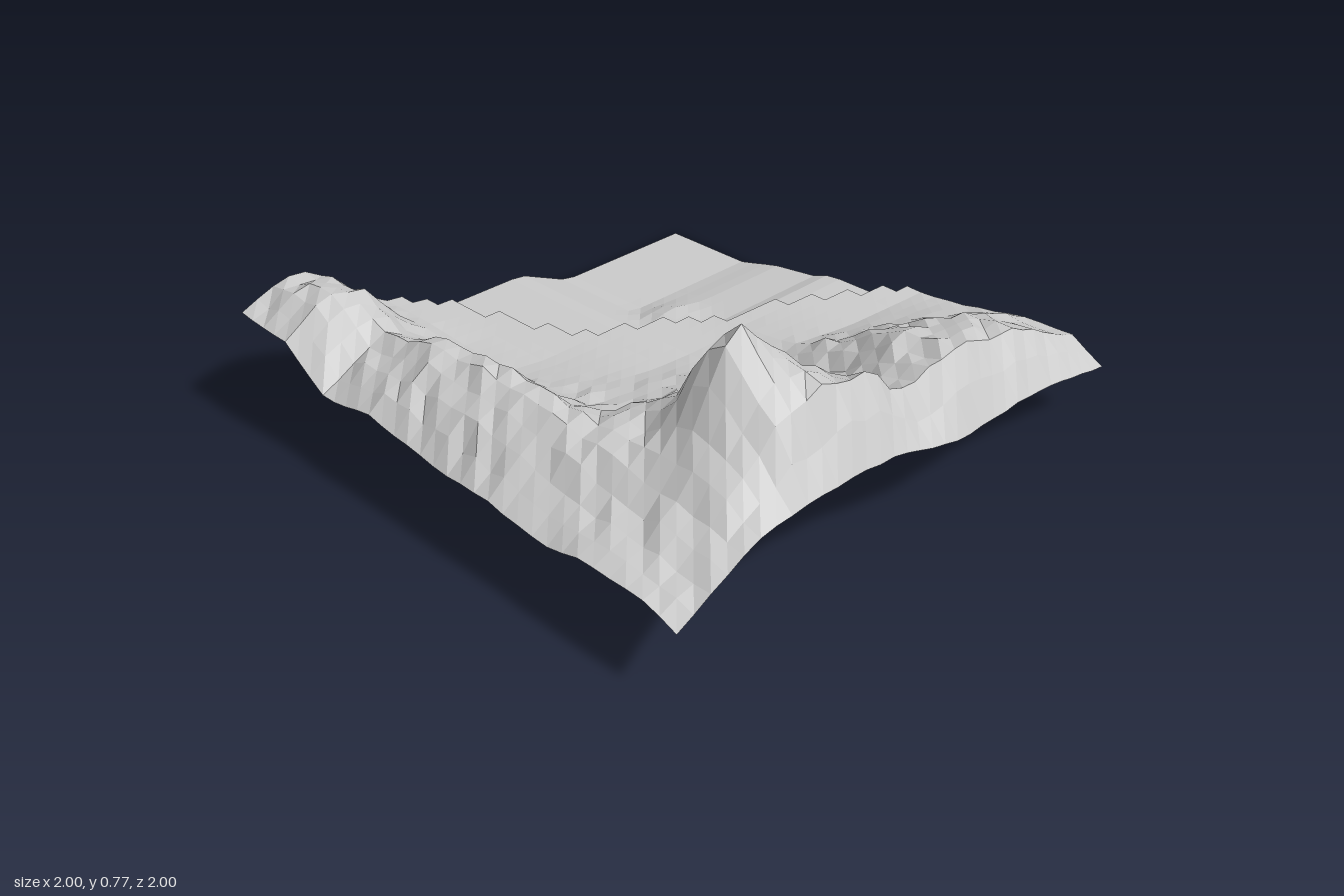
import * as THREE from 'three';

const N = 32; // cells per side
const { clamp, lerp } = THREE.MathUtils;

// Control net for the upper ground: plateau, spur, front ridge, right ridge and peak
const netX = [-1, -0.75, -0.55, -0.3, 0, 0.25, 0.5, 0.6, 0.6875, 0.875, 1];
const netZ = [-1, -0.6, -0.3, -0.2, -0.08, 0.1, 0.3, 0.4375, 0.5, 0.6, 0.72, 0.85, 1];
const net = [
  [0.2, 0.2, 0.2, 0.2, 0.19, 0.18, 0.21, 0.23, 0.25, 0.25, 0.18],
  [0.2, 0.2, 0.2, 0.2, 0.2, 0.2, 0.3, 0.36, 0.41, 0.43, 0.25],
  [0.2, 0.2, 0.2, 0.2, 0.21, 0.24, 0.37, 0.42, 0.46, 0.47, 0.25],
  [0.2, 0.2, 0.2, 0.2, 0.2, 0.21, 0.3, 0.35, 0.4, 0.45, 0.25],
  [0.2, 0.2, 0.2, 0.2, 0.2, 0.22, 0.27, 0.31, 0.35, 0.41, 0.28],
  [0.2, 0.2, 0.2, 0.2, 0.21, 0.28, 0.36, 0.41, 0.47, 0.56, 0.34],
  [0.2, 0.2, 0.2, 0.2, 0.24, 0.3, 0.44, 0.55, 0.64, 0.61, 0.36],
  [0.22, 0.22, 0.21, 0.22, 0.27, 0.32, 0.48, 0.7, 0.77, 0.57, 0.36],
  [0.25, 0.25, 0.24, 0.24, 0.29, 0.34, 0.48, 0.68, 0.73, 0.54, 0.36],
  [0.33, 0.34, 0.28, 0.34, 0.37, 0.38, 0.44, 0.52, 0.56, 0.46, 0.36],
  [0.44, 0.47, 0.38, 0.45, 0.47, 0.46, 0.42, 0.4, 0.4, 0.38, 0.34],
  [0.45, 0.47, 0.34, 0.39, 0.4, 0.37, 0.32, 0.31, 0.3, 0.29, 0.28],
  [0.38, 0.37, 0.25, 0.29, 0.25, 0.25, 0.22, 0.25, 0.25, 0.25, 0.21],
];

// Rise of the low ground from the sunken corner towards the cliff
const rampX = [-1, -0.62, -0.45, -0.25, -0.17, 1];
const rampY = [0, 0, 0.045, 0.07, 0.1, 0.1];

// Column of the first vertex above the cliff, for each row from the back
const cliff = [19, 18, 18, 17, 17, 16, 16, 15, 15, 15, 15, 14, 13, 12, 12, 11, 11, 10, 8, 5, 2, 1];

// Finds the span of a sorted list holding v, and how far along it v lies
function locate(list, v) {
  let i = 0;
  while (i < list.length - 2 && v > list[i + 1]) i++;
  return [i, (v - list[i]) / (list[i + 1] - list[i])];
}

// Seeded roughness in -1..1 for a grid vertex
function rough(i, j) {
  const s = Math.sin(i * 127.1 + j * 311.7) * 43758.5453;
  return (s - Math.floor(s)) * 2 - 1;
}

function upperHeight(i, j, x, z) {
  const [a, u] = locate(netX, x);
  const [b, v] = locate(netZ, z);
  const h = lerp(lerp(net[b][a], net[b][a + 1], u), lerp(net[b + 1][a], net[b + 1][a + 1], u), v);
  // the plateau stays flat and the slopes are rough; the summit and rim are left clean
  const edge = i === 0 || j === 0 || i === N || j === N;
  const amount = edge || h > 0.6 ? 0.004 : 0.016 * clamp((h - 0.21) / 0.1, 0, 1);
  return h + amount * rough(i, j);
}

// Low ground: a sunken back corner, ramps with a small mound, and a flat shelf
function lowerHeight(x, z) {
  const [a, u] = locate(rampX, x);
  const front = 0.1 * clamp((z + 0.4) / 0.23, 0, 1);
  const mound = 0.03 * Math.exp(-((x + 0.45) ** 2 + (z + 0.42) ** 2) / 0.01);
  return Math.max(lerp(rampY[a], rampY[a + 1], u), front) + mound;
}

export function createModel() {
  const group = new THREE.Group();
  const positions = [];
  const index = [];
  for (let j = 0; j <= N; j++) {
    for (let i = 0; i <= N; i++) {
      const x = -1 + (2 * i) / N;
      const z = -1 + (2 * j) / N;
      const isUpper = i >= (cliff[j] ?? 0);
      positions.push(x, isUpper ? upperHeight(i, j, x, z) : lowerHeight(x, z), z);
      if (i < N && j < N) {
        const a = j * (N + 1) + i;
        const b = a + N + 1;
        index.push(a, b, b + 1, a, b + 1, a + 1);
      }
    }
  }
  const geometry = new THREE.BufferGeometry();
  geometry.setAttribute('position', new THREE.Float32BufferAttribute(positions, 3));
  geometry.setIndex(index);
  geometry.computeVertexNormals();

  const terrain = new THREE.Mesh(
    geometry,
    new THREE.MeshStandardMaterial({ color: 0xcccccc, flatShading: true, side: THREE.DoubleSide })
  );
  terrain.name = 'terrain';
  group.add(terrain);
  return group;
}
